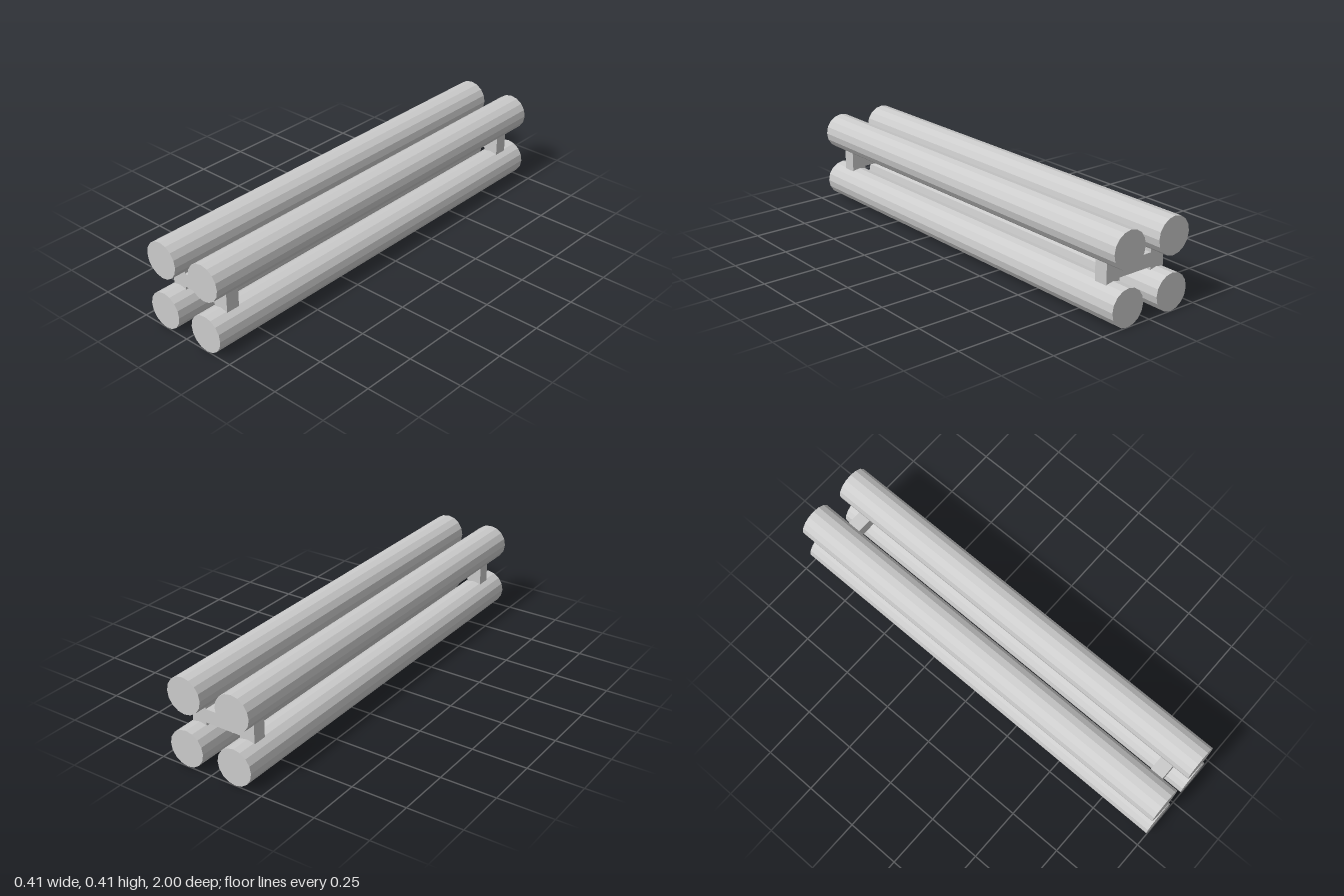
import * as THREE from 'three';

const R = 0.083;      // tube radius
const X = 0.12;       // tube offset from the centre line
const MID = 0.203;    // height of the bundle's centre

export function createModel() {
  const group = new THREE.Group();
  const material = new THREE.MeshStandardMaterial({ color: 0xcccccc, flatShading: true });

  const add = (name, geometry, x, y, z) => {
    const mesh = new THREE.Mesh(geometry, material);
    mesh.name = name;
    mesh.position.set(x, y, z);
    group.add(mesh);
  };

  // Four long 16-sided tubes, lying along z
  const tube = new THREE.CylinderGeometry(R, R, 2, 16).rotateX(Math.PI / 2);
  for (const [side, sx] of [['left', 1], ['right', -1]]) {
    for (const [level, sy] of [['Upper', 1], ['Lower', -1]]) {
      add(`${side}${level}Tube`, tube, sx * X, MID + sy * X, 0);
    }
  }

  // H-shaped spacers: two posts sunk into the tubes, joined by a crossbar
  const outer = 0.156, inner = 0.085, half = 0.031, reach = 0.09, depth = 0.064;
  const outline = [
    [-outer, -reach], [-inner, -reach], [-inner, -half], [inner, -half],
    [inner, -reach], [outer, -reach], [outer, reach], [inner, reach],
    [inner, half], [-inner, half], [-inner, reach], [-outer, reach],
  ].map(([x, y]) => new THREE.Vector2(x, y));
  const spacer = new THREE.ExtrudeGeometry(new THREE.Shape(outline), { depth, bevelEnabled: false });
  spacer.translate(0, 0, -depth / 2);
  add('frontSpacer', spacer, 0, MID, 0.882);
  add('backSpacer', spacer, 0, MID, -0.882);

  return group;
}
